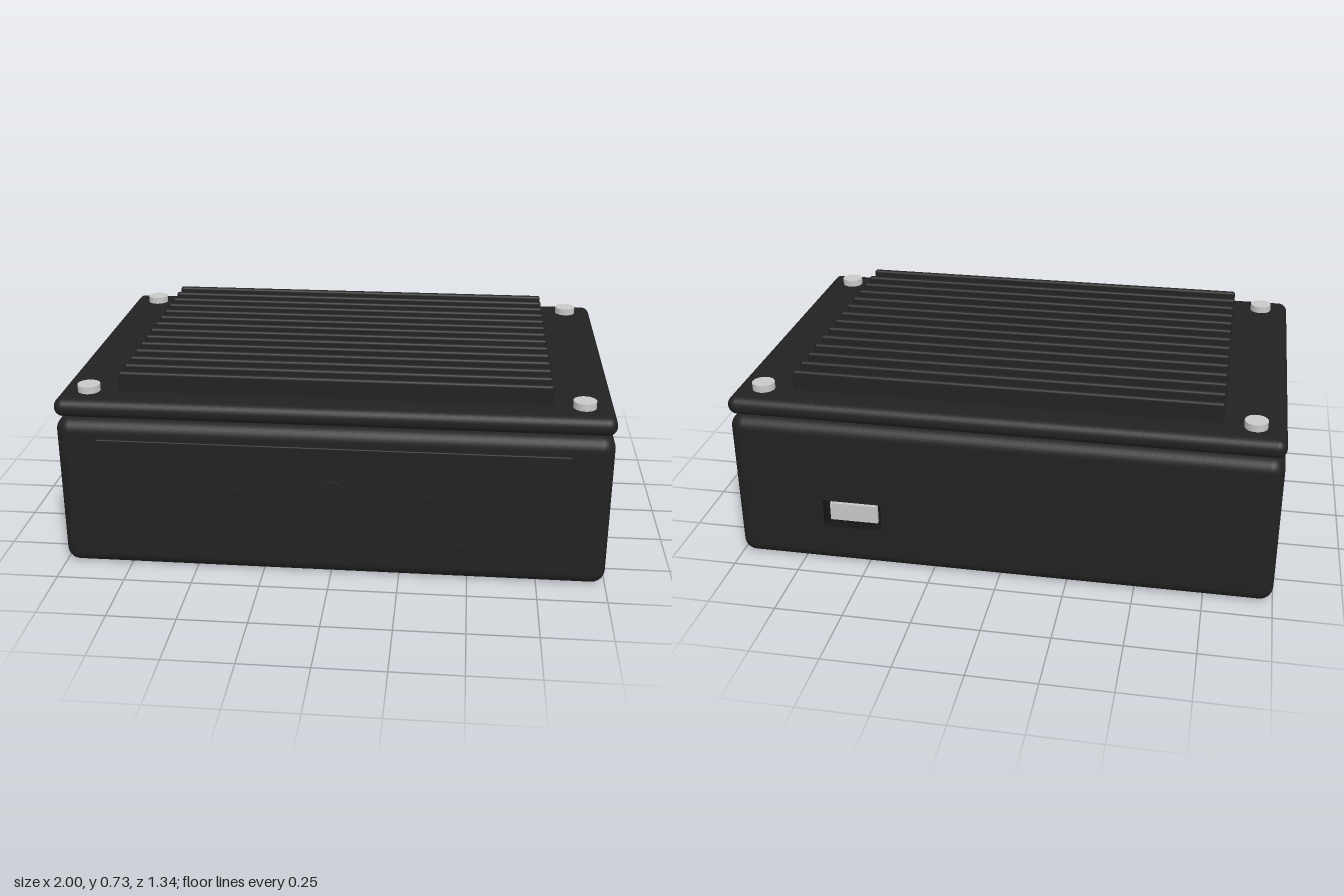
import * as THREE from 'three';
import { RoundedBoxGeometry } from 'three/addons/geometries/RoundedBoxGeometry.js';

const W = 2, D = 1.313, ZC = -0.0155, H = 0.58, R = 0.05;
const BACK = ZC - D / 2, FRONT = ZC + D / 2;
const PORT = { x: 0.55, y: 0.21, w: 0.22, h: 0.11, depth: 0.035 };

export function createModel() {
  const black = new THREE.MeshStandardMaterial({ color: 0x222222 });
  black.name = 'black casing';
  const dark = new THREE.MeshStandardMaterial({ color: 0x161616, side: THREE.DoubleSide });
  dark.name = 'dark recess';
  const silver = new THREE.MeshStandardMaterial({ color: 0xc8c8c8 });
  silver.name = 'silver metal';

  const model = new THREE.Group();
  model.name = 'finnedEnclosure';
  const add = (name, geometry, material, x, y, z) => {
    const mesh = new THREE.Mesh(geometry, material);
    mesh.name = name;
    mesh.position.set(x, y, z);
    model.add(mesh);
    return mesh;
  };

  // Body: a rounded box whose flat back panel is left out
  const shell = new RoundedBoxGeometry(W, H, D, 5, R);
  const pos = shell.attributes.position, keep = [];
  for (let i = 0; i < pos.count; i += 3) {
    const flatBack = [0, 1, 2].every((k) => pos.getZ(i + k) < -D / 2 + 1e-5);
    if (!flatBack) keep.push(i, i + 1, i + 2);
  }
  shell.clearGroups();
  shell.setIndex(keep);
  add('body', shell, black, 0, H / 2, ZC);

  // Back panel with the port opening (turned to face -z, so x is mirrored)
  const rect = (shape, cx, cy, w, h) => shape
    .moveTo(cx - w / 2, cy - h / 2).lineTo(cx + w / 2, cy - h / 2)
    .lineTo(cx + w / 2, cy + h / 2).lineTo(cx - w / 2, cy + h / 2).closePath();
  const panel = rect(new THREE.Shape(), 0, H / 2, W - 2 * R, H - 2 * R);
  panel.holes.push(rect(new THREE.Path(), -PORT.x, PORT.y, PORT.w, PORT.h));
  add('backPanel', new THREE.ShapeGeometry(panel), black, 0, 0, BACK).rotation.y = Math.PI;

  // Port recess walls, floor and metal connector
  const wallZ = BACK + PORT.depth / 2;
  for (const s of [-1, 1]) {
    add('portSideWall', new THREE.PlaneGeometry(PORT.depth, PORT.h), dark,
      PORT.x + s * PORT.w / 2, PORT.y, wallZ).rotation.y = Math.PI / 2;
    add('portTopBottomWall', new THREE.PlaneGeometry(PORT.w, PORT.depth), dark,
      PORT.x, PORT.y + s * PORT.h / 2, wallZ).rotation.x = Math.PI / 2;
  }
  add('portFloor', new THREE.PlaneGeometry(PORT.w, PORT.h), dark, PORT.x, PORT.y, BACK + PORT.depth);
  add('portConnector', new THREE.BoxGeometry(0.18, 0.07, 0.02), silver, PORT.x, PORT.y, BACK + 0.029);

  // Lid
  add('lid', new RoundedBoxGeometry(W, 0.07, D, 5, 0.034), black, 0, 0.62, ZC);

  // Cooling fins
  const fin = new RoundedBoxGeometry(1.56, 0.09, 0.023, 3, 0.01);
  for (let i = 0; i < 14; i++) add('coolingFin', fin, black, 0, 0.685, 0.52 - i * 0.082);

  // Corner screws
  const screw = new THREE.CylinderGeometry(0.041, 0.041, 0.03, 32);
  for (const x of [-0.89, 0.89])
    for (const z of [0.53, -0.563]) add('cornerScrew', screw, silver, x, 0.666, z);

  // Raised front plate with the lens and two sensors
  add('frontPlate', new RoundedBoxGeometry(1.7, 0.39, 0.02, 2, 0.004), black, 0, 0.315, FRONT - 0.005);
  const disc = (name, r, x, end) => {
    const length = end - FRONT + 0.01;
    add(name, new THREE.CylinderGeometry(r, r, length, 40), black, x, 0.313, end - length / 2)
      .rotation.x = Math.PI / 2;
  };
  disc('lens', 0.073, 0, 0.672);
  for (const x of [-0.346, 0.346]) disc('sensor', 0.027, x, 0.662);

  return model;
}
